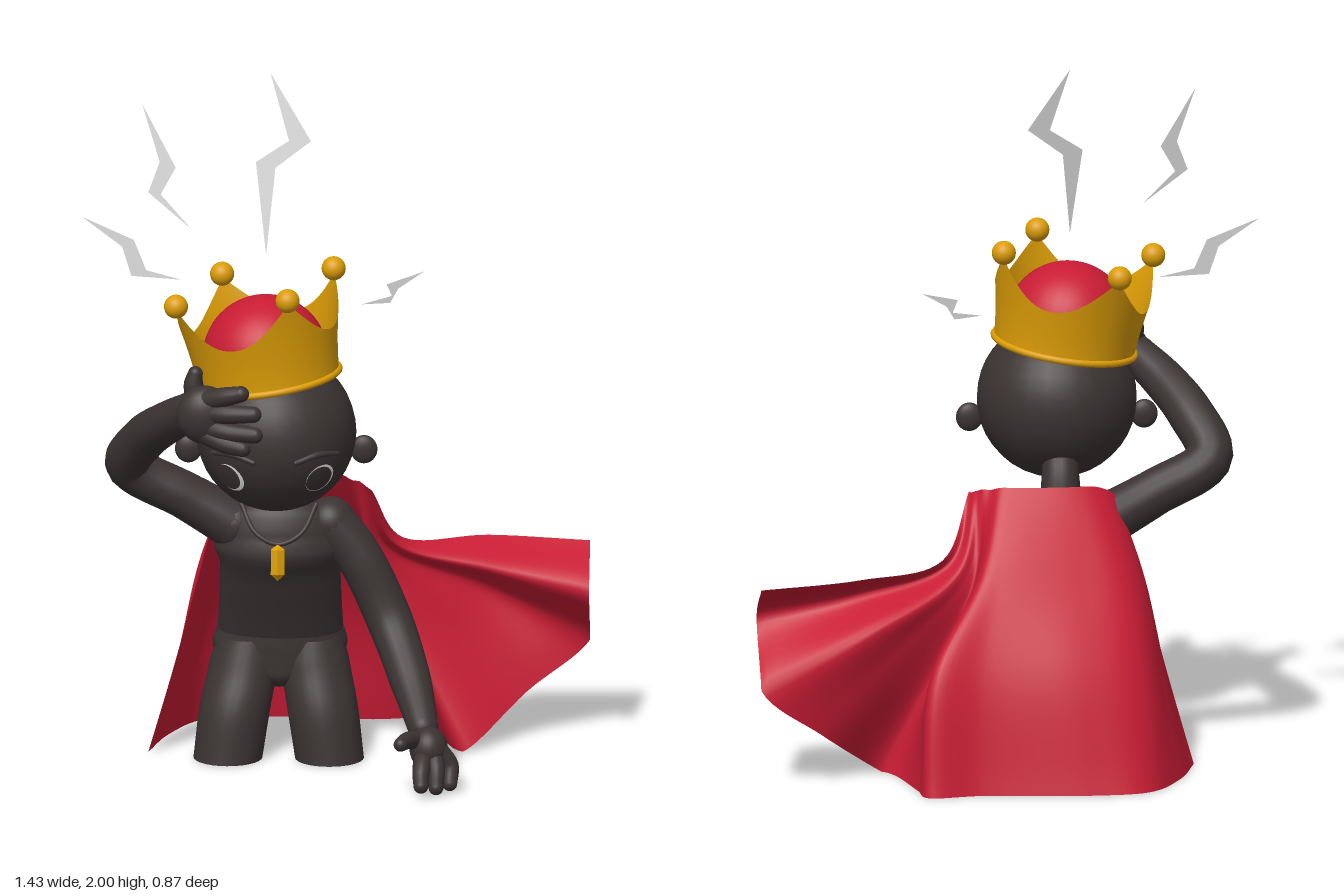
import * as THREE from 'three';

const mat = (name, color, side = THREE.FrontSide) => {
  const m = new THREE.MeshStandardMaterial({ color, side });
  m.name = name;
  return m;
};
const V = (p) => new THREE.Vector3(...p);

export function createModel() {
  const dark = mat('charcoal', 0x3a3332);
  const red = mat('crimson', 0xc81c34, THREE.DoubleSide);
  const gold = mat('gold', 0xdb9c06, THREE.DoubleSide);
  const white = mat('white', 0xececec);
  const grey = mat('light grey', 0xd6d6d6, THREE.DoubleSide);
  const model = new THREE.Group();

  const add = (parent, name, geo, material, pos = [0, 0, 0]) => {
    const mesh = new THREE.Mesh(geo, material);
    mesh.name = name;
    mesh.position.set(...pos);
    parent.add(mesh);
    return mesh;
  };
  const ball = (parent, name, material, pos, r, scale = [1, 1, 1]) => {
    const mesh = add(parent, name, new THREE.SphereGeometry(r, 28, 20), material, pos);
    mesh.scale.set(...scale);
    return mesh;
  };

  // Grid surface from a function of (u, v)
  const grid = (nu, nv, fn) => {
    const pos = [], idx = [];
    for (let j = 0; j <= nv; j++) for (let i = 0; i <= nu; i++) pos.push(...fn(i / nu, j / nv));
    for (let j = 0; j < nv; j++) for (let i = 0; i < nu; i++) {
      const a = j * (nu + 1) + i, b = a + nu + 1;
      idx.push(a, b, a + 1, a + 1, b, b + 1);
    }
    const g = new THREE.BufferGeometry();
    g.setAttribute('position', new THREE.Float32BufferAttribute(pos, 3));
    g.setIndex(idx);
    g.computeVertexNormals();
    return g;
  };

  // Stacked ellipses [x, y, z, rx, rz], bottom to top, with flat ends
  const loft = (parent, name, rings) => {
    const mid = new THREE.CatmullRomCurve3(rings.map((r) => V(r.slice(0, 3))));
    const rad = new THREE.CatmullRomCurve3(rings.map((r) => V([r[3], r[4], 0])));
    add(parent, name, grid(28, 20, (u, v) => {
      const c = mid.getPoint(v), r = rad.getPoint(v), a = u * Math.PI * 2;
      return [c.x + Math.cos(a) * r.x, c.y, c.z + Math.sin(a) * r.y];
    }), dark);
    [rings[0], rings[rings.length - 1]].forEach((r, i) => {
      const cap = add(parent, name + 'End', new THREE.CircleGeometry(1, 28), dark, r.slice(0, 3));
      cap.rotation.x = i ? -Math.PI / 2 : Math.PI / 2;
      cap.scale.set(r[3], r[4], 1);
    });
  };

  // Tapered round limb through points [x, y, z, radius]
  const limb = (parent, name, pts, n = 20) => {
    const curve = new THREE.CatmullRomCurve3(pts.map((p) => V(p.slice(0, 3))));
    const geo = new THREE.TubeGeometry(curve, n, 1, 16);
    const P = geo.attributes.position, q = new THREE.Vector3();
    for (let i = 0; i < P.count; i++) {
      const t = Math.floor(i / 17) / n, c = curve.getPointAt(t);
      const f = curve.getUtoTmapping(t) * (pts.length - 1);
      const k = Math.min(Math.floor(f), pts.length - 2);
      const r = THREE.MathUtils.lerp(pts[k][3], pts[k + 1][3], f - k);
      q.fromBufferAttribute(P, i).sub(c).multiplyScalar(r).add(c);
      P.setXYZ(i, q.x, q.y, q.z);
    }
    add(parent, name, geo, dark);
    for (const p of [pts[0], pts[pts.length - 1]]) ball(parent, name + 'Tip', dark, p.slice(0, 3), p[3]);
  };

  const part = (name) => {
    const g = new THREE.Group();
    g.name = name;
    model.add(g);
    return g;
  };

  // Torso, neck and legs
  const body = part('body');
  loft(body, 'torso', [
    [-0.153, 0.345, -0.09, 0.178, 0.095], [-0.153, 0.42, -0.06, 0.174, 0.095],
    [-0.153, 0.55, -0.01, 0.17, 0.1], [-0.153, 0.66, 0.02, 0.17, 0.1],
    [-0.153, 0.74, 0.025, 0.14, 0.075], [-0.155, 0.78, 0.02, 0.06, 0.05]]);
  loft(body, 'hips', [
    [-0.155, 0.205, -0.075, 0.03, 0.06], [-0.155, 0.235, -0.08, 0.1, 0.085],
    [-0.155, 0.28, -0.087, 0.18, 0.094], [-0.155, 0.32, -0.09, 0.19, 0.098], [-0.153, 0.36, -0.09, 0.18, 0.098]]);
  for (const s of [-1, 1]) {
    loft(body, s < 0 ? 'rightLeg' : 'leftLeg', [
      [-0.157 + s * 0.143, 0, -0.012, 0.097, 0.098], [-0.157 + s * 0.122, 0.15, -0.033, 0.1, 0.1],
      [-0.155 + s * 0.098, 0.27, -0.075, 0.098, 0.099], [-0.153 + s * 0.09, 0.34, -0.09, 0.085, 0.09]]);
  }
  limb(body, 'neck', [[-0.155, 0.74, 0.01, 0.06], [-0.157, 0.83, 0.04, 0.052], [-0.16, 0.92, 0.12, 0.055]]);
  limb(body, 'necklaceCord', [[-0.26, 0.76, 0.06, 0.007], [-0.22, 0.69, 0.112, 0.007],
    [-0.155, 0.66, 0.125, 0.007], [-0.09, 0.69, 0.112, 0.007], [-0.05, 0.76, 0.06, 0.007]]);

  // Pendant: faceted drop
  const drop = new THREE.LatheGeometry(
    [[0, -0.055], [0.022, -0.035], [0.022, 0.035], [0, 0.05]].map((p) => new THREE.Vector2(...p)), 6).toNonIndexed();
  drop.computeVertexNormals();
  add(body, 'pendant', drop, gold, [-0.157, 0.612, 0.137]).rotation.x = -0.15;

  // Lowered left arm and hand
  const leftArm = part('leftArm');
  limb(leftArm, 'arm', [[-0.01, 0.7, 0.02, 0.07], [0.07, 0.6, 0.03, 0.066], [0.157, 0.42, 0.055, 0.066],
    [0.216, 0.28, 0.16, 0.06], [0.255, 0.17, 0.27, 0.044]], 32);
  ball(leftArm, 'palm', dark, [0.272, 0.12, 0.318], 0.057, [0.95, 1.1, 1]);
  for (const t of [[0.252, 0.035, 0.41], [0.294, 0.025, 0.388], [0.332, 0.025, 0.345]])
    limb(leftArm, 'finger', [[0.272 + (t[0] - 0.272) * 0.5, 0.115, 0.328, 0.028],
      [t[0], 0.073, t[2] - 0.02, 0.025], [...t, 0.021]], 10);
  limb(leftArm, 'thumb', [[0.25, 0.14, 0.31, 0.029], [0.215, 0.155, 0.36, 0.025], [0.195, 0.155, 0.405, 0.02]], 10);

  // Raised right arm, hand against the brow
  const rightArm = part('rightArm');
  limb(rightArm, 'arm', [[-0.28, 0.69, 0.015, 0.075], [-0.42, 0.77, 0.01, 0.067], [-0.577, 0.863, 0.03, 0.066],
    [-0.532, 0.97, 0.13, 0.065], [-0.46, 1.05, 0.24, 0.06], [-0.4, 1.1, 0.312, 0.054]], 36);
  ball(rightArm, 'palm', dark, [-0.358, 1.1, 0.347], 0.08, [1, 1.05, 0.7]);
  for (const [x, y] of [[-0.255, 1.175], [-0.22, 1.115], [-0.215, 1.055], [-0.25, 1.015]])
    limb(rightArm, 'finger', [[-0.358, 1.1 + (y - 1.1) * 0.6, 0.36, 0.03],
      [-0.3, 1.1 + (y - 1.1) * 0.85, 0.389, 0.028], [x, y, 0.4, 0.023]], 10);
  limb(rightArm, 'thumb', [[-0.38, 1.13, 0.32, 0.032], [-0.39, 1.18, 0.315, 0.028], [-0.385, 1.21, 0.31, 0.021]], 10);

  // Head with ears, eyes and brows
  const head = part('head');
  const hc = [-0.16, 1.01, 0.19];
  ball(head, 'skull', dark, hc, 0.226);
  const patch = (name, material, r, angle, dir) => {
    const m = add(head, name, new THREE.SphereGeometry(r, 24, 6, 0, Math.PI * 2, 0, angle), material, hc);
    m.quaternion.setFromUnitVectors(new THREE.Vector3(0, 1, 0), V(dir).normalize());
  };
  for (const s of [-1, 1]) {
    ball(head, 'ear', dark, [hc[0] + s * 0.247, 0.958, 0.19], 0.038, [1, 1.08, 0.5]);
    patch('eyeWhite', white, 0.2285, 0.205, [s * 0.56, -0.41, 0.72]);
    patch('iris', dark, 0.231, 0.183, [s * 0.56 - 0.028, -0.4, 0.72]);
    limb(head, 'eyebrow', [[hc[0] + s * 0.06, 0.975, 0.403, 0.008], [hc[0] + s * 0.12, 0.993, 0.38, 0.01],
      [hc[0] + s * 0.175, 0.985, 0.332, 0.007]], 10);
  }

  // Crown: flared wall with four points, tilted sideways
  const crown = part('crown');
  crown.position.set(-0.18, 1.158, 0.185);
  crown.rotation.set(-0.035, 0, 0.15);
  const flare = (y) => 0.2 + 0.043 * Math.pow(y / 0.26, 1.5);
  const turn = -0.414;
  add(crown, 'crownWall', grid(96, 10, (u, v) => {
    const a = u * Math.PI * 2;
    const y = v * (0.143 + 0.115 * Math.pow(1 - Math.abs(Math.sin(2 * a)), 1.1));
    return [Math.cos(a + turn) * flare(y), y, Math.sin(a + turn) * flare(y)];
  }), gold);
  const rim = add(crown, 'crownRim', new THREE.TorusGeometry(0.2, 0.01, 10, 64), gold, [0, 0.005, 0]);
  rim.rotation.x = Math.PI / 2;
  const base = add(crown, 'crownBase', new THREE.CircleGeometry(0.2, 48), dark, [0, 0.006, 0]);
  base.rotation.x = Math.PI / 2;
  for (let i = 0; i < 4; i++) {
    const a = turn + i * Math.PI / 2;
    ball(crown, 'crownBall', gold, [Math.cos(a) * 0.243, 0.27, Math.sin(a) * 0.243], 0.034);
  }
  // Rounded cloth cap filling the crown
  add(crown, 'crownLining', new THREE.SphereGeometry(0.178, 32, 20, 0, Math.PI * 2, 0, 1.9), red, [0, 0.066, 0]);

  // Cape: four curves from collar to hem, the left side blown outward and rolled at its end
  const capeRows = [
    [[-0.33, 0.74, 0.02], [-0.3, 0.78, -0.03], [-0.25, 0.805, -0.06], [-0.17, 0.81, -0.08], [-0.03, 0.81, -0.08],
      [0.02, 0.81, -0.07], [0.05, 0.8, -0.05], [0.07, 0.8, -0.04], [0.08, 0.795, -0.03], [0.09, 0.79, -0.02], [0.1, 0.785, -0.01], [0.105, 0.785, 0]],
    [[-0.39, 0.5, -0.01], [-0.38, 0.55, -0.1], [-0.32, 0.57, -0.18], [-0.18, 0.57, -0.22], [0.03, 0.58, -0.23],
      [0.09, 0.58, -0.22], [0.1, 0.57, -0.17], [0.1, 0.56, -0.13], [0.12, 0.57, -0.13], [0.145, 0.585, -0.14], [0.17, 0.6, -0.1], [0.19, 0.615, -0.12]],
    [[-0.455, 0.25, -0.03], [-0.43, 0.27, -0.18], [-0.36, 0.3, -0.31], [-0.18, 0.33, -0.355], [0.09, 0.33, -0.35],
      [0.235, 0.33, -0.365], [0.24, 0.31, -0.28], [0.2, 0.33, -0.14], [0.31, 0.38, -0.2], [0.41, 0.44, -0.26], [0.43, 0.52, -0.13], [0.43, 0.59, -0.24]],
    [[-0.525, 0, -0.06], [-0.47, 0, -0.25], [-0.37, 0, -0.41], [-0.2, 0, -0.44], [0.1, 0, -0.415],
      [0.26, 0, -0.43], [0.28, 0, -0.33], [0.36, 0, -0.08], [0.54, 0.14, -0.22], [0.715, 0.28, -0.26], [0.715, 0.46, -0.11], [0.715, 0.57, -0.26]],
  ].map((row) => new THREE.CatmullRomCurve3(row.map(V)));
  add(model, 'cape', grid(88, 30, (u, v) => {
    const p = new THREE.CatmullRomCurve3(capeRows.map((c) => c.getPoint(u))).getPoint(v);
    return [Math.min(p.x, 0.715), Math.max(p.y, 0), p.z];
  }), red);

  // Floating bolts: flat zigzags on slanted planes z = z0 + kx * x + ky * y
  const bolt = (outline, z0, kx, ky) => {
    const geo = new THREE.ShapeGeometry(new THREE.Shape(outline.map((p) => new THREE.Vector2(...p))));
    const P = geo.attributes.position;
    for (let i = 0; i < P.count; i++) P.setZ(i, z0 + kx * P.getX(i) + ky * P.getY(i));
    geo.computeVertexNormals();
    add(model, 'bolt', geo, grey);
  };
  bolt([[-0.18, 2], [-0.065, 1.815], [-0.165, 1.74], [-0.19, 1.5], [-0.22, 1.755], [-0.127, 1.815]], 0.48, 0.06, -0.24);
  bolt([[-0.54, 1.925], [-0.445, 1.75], [-0.487, 1.675], [-0.4, 1.58], [-0.522, 1.68], [-0.49, 1.765]], 0.446, 0.06, -0.187);
  bolt([[-0.712, 1.568], [-0.565, 1.505], [-0.53, 1.42], [-0.43, 1.395], [-0.572, 1.403], [-0.598, 1.485]], 0.165, 0.06, -0.105);
  bolt([[0.25, 1.388], [0.145, 1.36], [0.16, 1.325], [0.075, 1.308], [0.155, 1.305], [0.178, 1.345]], -0.045, -0.35, 0);

  return model;
}
